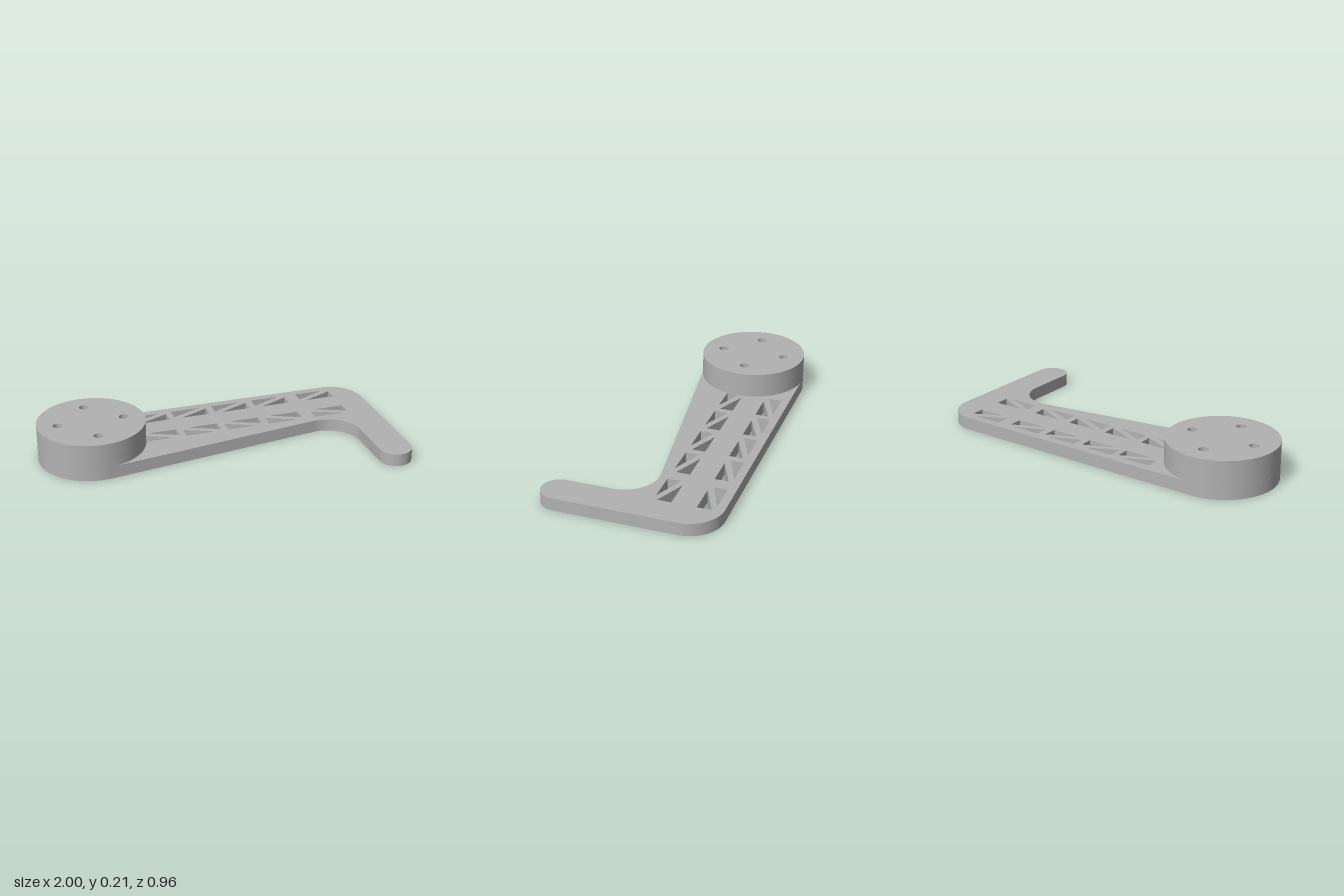
import * as THREE from 'three';
import { toCreasedNormals } from 'three/addons/utils/BufferGeometryUtils.js';

// Shapes are drawn in plan with shape y = -z, then laid flat.
const PLATE_H = 0.072, BORE_H = 0.14, TOP_H = 0.213;
const HUB = { x: -0.696, y: 0.177, r: 0.304 };

function slab(shape, y0, y1) {
  const g = new THREE.ExtrudeGeometry(shape, { depth: y1 - y0, bevelEnabled: false, curveSegments: 32 });
  g.rotateX(-Math.PI / 2);
  g.translate(0, y0, 0);
  return toCreasedNormals(g, 0.6);
}

function polygonHole(shape, points) {
  shape.holes.push(new THREE.Path(points.map(([x, y]) => new THREE.Vector2(x, y))));
}

// Four screw holes around the hub centre
function screwHoles(shape, r) {
  for (const [dx, dy] of [[1, 0], [0, 1], [-1, 0], [0, -1]]) {
    const hole = new THREE.Path();
    hole.absarc(HUB.x + dx * 0.188, HUB.y + dy * 0.188, r, 0, Math.PI * 2, true);
    shape.holes.push(hole);
  }
}

function hubShape(holeRadius) {
  const s = new THREE.Shape();
  s.absarc(HUB.x, HUB.y, HUB.r, 0, Math.PI * 2, false);
  screwHoles(s, holeRadius);
  return s;
}

// Tapered arm ending in a hooked finger
function armShape() {
  const a = 0.145, s = new THREE.Shape();
  s.absarc(HUB.x, HUB.y, HUB.r, Math.PI / 2, Math.PI * 1.5 + a, false);
  s.absarc(0.625, -0.126, 0.187, Math.PI / 2 + a, 0, true);
  s.absarc(0.906, -0.387, 0.094, Math.PI, Math.PI * 2, false);
  s.absarc(0.813, 0.294, 0.187, 0, Math.PI / 2, false);
  s.closePath();

  // Two rows of truss windows, each a pair of triangles about a diagonal bar
  const w = 0.21, h = 0.096, tw = 0.172, th = 0.076;
  for (const x of [-0.407, -0.162, 0.089, 0.34, 0.626]) {
    const top = 0.435, low = 0.107;
    polygonHole(s, [[x, top], [x + tw, top], [x, top - th]]);
    polygonHole(s, [[x + w, top - h], [x + w - tw, top - h], [x + w, top - h + th]]);
    polygonHole(s, [[x, low], [x, low + th], [x + tw, low]]);
    polygonHole(s, [[x + w, low + h], [x + w, low + h - th], [x + w - tw, low + h]]);
  }
  screwHoles(s, 0.046);
  return s;
}

export function createModel() {
  const model = new THREE.Group();
  model.name = 'bracketArm';
  const grey = new THREE.MeshStandardMaterial({ color: 0xb2b2b2 });
  grey.name = 'grey';

  const add = (name, geometry) => {
    const mesh = new THREE.Mesh(geometry, grey);
    mesh.name = name;
    model.add(mesh);
  };
  add('armPlate', slab(armShape(), 0, PLATE_H));
  // Hub: wide counterbores below, narrow screw holes above
  add('hubLower', slab(hubShape(0.046), PLATE_H, BORE_H));
  add('hubUpper', slab(hubShape(0.027), BORE_H, TOP_H));
  return model;
}
